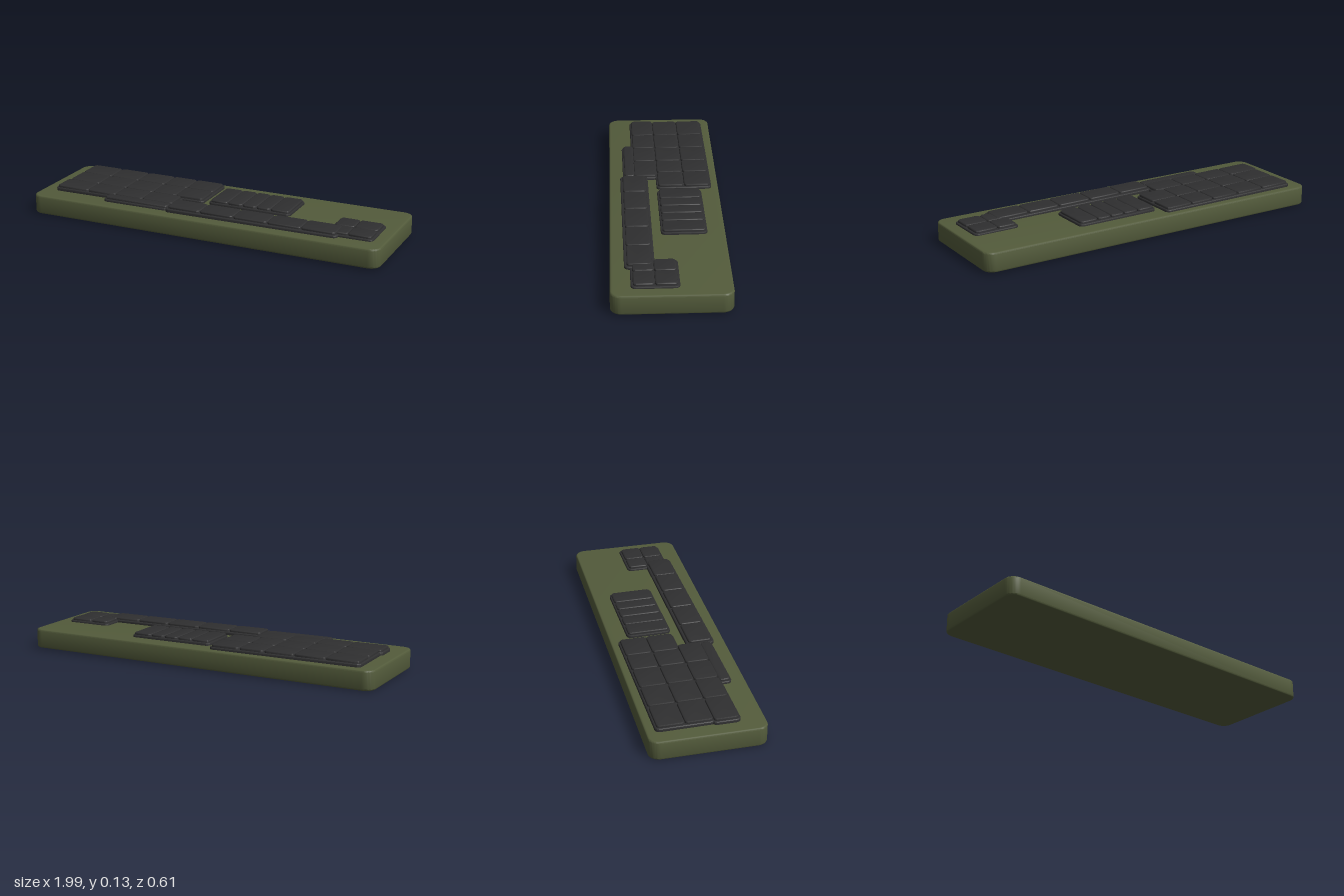
import * as THREE from 'three';
import { toCreasedNormals } from 'three/addons/utils/BufferGeometryUtils.js';

const olive = new THREE.MeshStandardMaterial({ color: 0x535b3b });
olive.name = 'olive case';
const charcoal = new THREE.MeshStandardMaterial({ color: 0x2f2f30 });
charcoal.name = 'charcoal keys';

// Rounded slab with softened edges, spanning x0..x1, y0..y1, z0..z1
function slab(name, material, [x0, x1, z0, z1], y0, y1, r, bevel) {
  const s = new THREE.Shape();
  s.moveTo(x0 + r, -z1);
  s.lineTo(x1 - r, -z1);
  s.absarc(x1 - r, -z1 + r, r, -Math.PI / 2, 0);
  s.lineTo(x1, -z0 - r);
  s.absarc(x1 - r, -z0 - r, r, 0, Math.PI / 2);
  s.lineTo(x0 + r, -z0);
  s.absarc(x0 + r, -z0 - r, r, Math.PI / 2, Math.PI);
  s.lineTo(x0, -z1 + r);
  s.absarc(x0 + r, -z1 + r, r, Math.PI, Math.PI * 1.5);
  const geo = new THREE.ExtrudeGeometry(s, {
    depth: y1 - y0 - 2 * bevel, curveSegments: 6,
    bevelEnabled: true, bevelThickness: bevel, bevelSize: bevel, bevelOffset: -bevel, bevelSegments: 3,
  });
  geo.rotateX(-Math.PI / 2).translate(0, y0 + bevel, 0);
  const mesh = new THREE.Mesh(toCreasedNormals(geo, 0.7), material);
  mesh.name = name;
  return mesh;
}

// Grid of keys between the column lines xs and row lines zs, on a low backing plate
function keyBlock(name, xs, zs, top, margin = 0.008) {
  const block = new THREE.Group();
  block.name = name;
  const x0 = xs[0], x1 = xs[xs.length - 1], z0 = zs[0], z1 = zs[zs.length - 1];
  block.add(slab('backingPlate', charcoal,
    [x0 - margin, x1 + margin, z0 - margin, z1 + margin], 0.08, top - 0.012, 0.025, 0.005));
  for (let i = 0; i < xs.length - 1; i++) {
    for (let j = 0; j < zs.length - 1; j++) {
      block.add(slab('key', charcoal,
        [xs[i] + 0.001, xs[i + 1] - 0.001, zs[j] + 0.001, zs[j + 1] - 0.001], 0.08, top, 0.018, 0.006));
    }
  }
  return block;
}

export function createModel() {
  const model = new THREE.Group();
  model.name = 'keyboard';

  // Case, sitting very slightly askew
  const body = slab('case', olive, [-0.992, 0.992, -0.294, 0.294], -0.051, 0.051, 0.055, 0.009);
  body.position.y = 0.057;
  body.rotation.set(0, -0.0115, 0.005);
  model.add(body);

  // Key clusters
  model.add(
    keyBlock('mainKeys', [-0.9, -0.72, -0.55, -0.385, -0.245, -0.085], [-0.25, -0.11, 0.03], 0.132),
    keyBlock('thirdRow', [-0.91, -0.72, -0.55, -0.385, -0.205], [0.03, 0.155], 0.132),
    keyBlock('frontRow', [-0.58, -0.21], [0.15, 0.208], 0.13),
    keyBlock('middleKeys', [-0.04, 0.06, 0.145, 0.225, 0.305, 0.41], [-0.19, 0.03], 0.134),
    keyBlock('longRow', [-0.2, -0.015, 0.175, 0.365, 0.55, 0.735], [0.095, 0.22], 0.136, 0.012),
    keyBlock('cornerKeys', [0.685, 0.79, 0.915], [-0.02, 0.09, 0.195], 0.134, 0.01),
  );
  return model;
}
